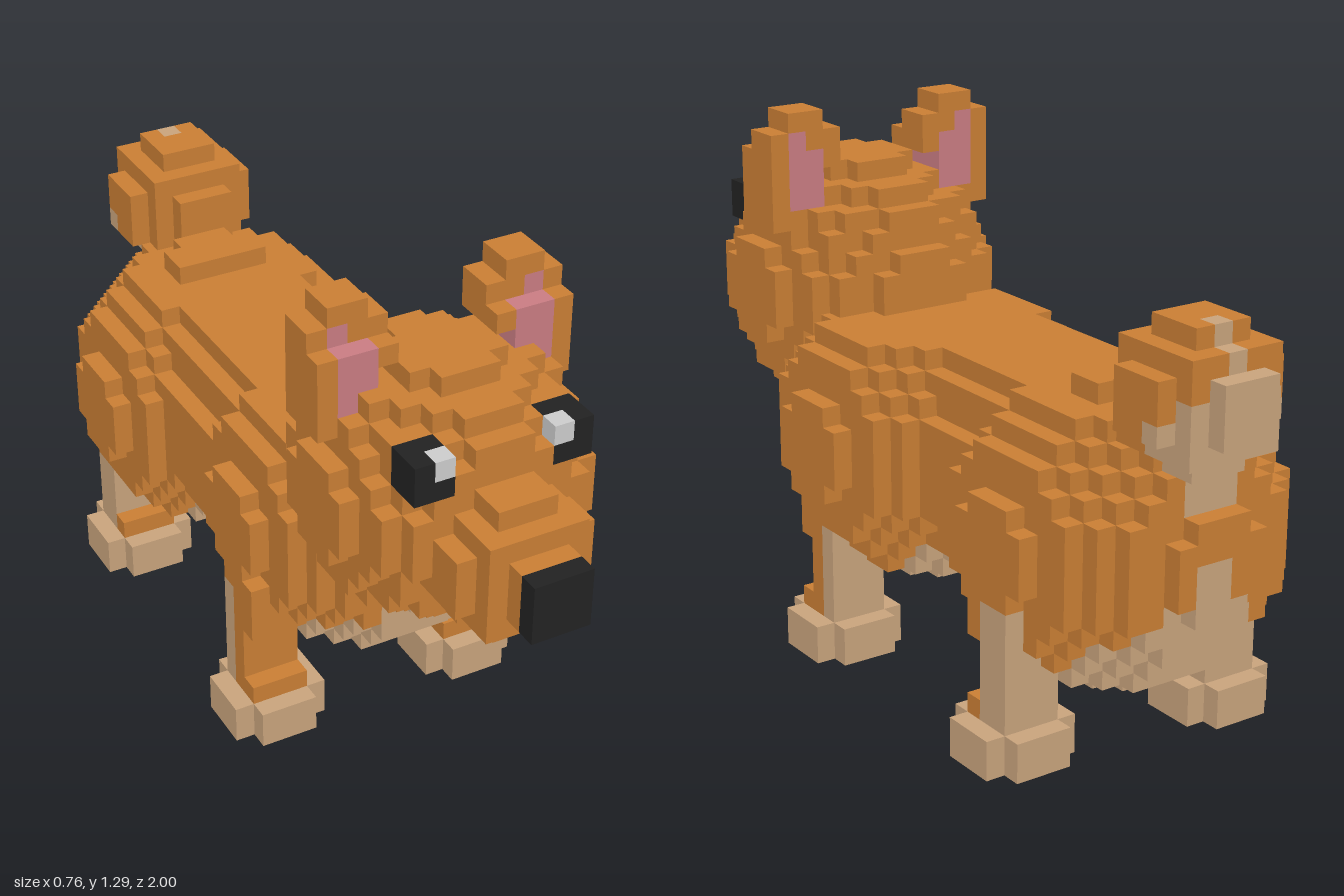
import * as THREE from 'three';

const U = 2 / 42; // size of one block

function material(name, color) {
  const m = new THREE.MeshStandardMaterial({ color });
  m.name = name;
  return m;
}

export function createModel() {
  const mats = {
    fur: material('orangeFur', 0xc97e34),
    cream: material('creamFur', 0xc8a37c),
    black: material('black', 0x222222),
    white: material('eyeGlint', 0xcccccc),
    pink: material('innerEar', 0xc97c82),
  };

  // Occupied cells: x counts half blocks, y and z whole blocks
  const cells = new Map();
  const key = (h, y, z) => `${h},${y},${z}`;
  const put = (part, mat, x, y, z) => {
    for (const h of [Math.round(2 * x), Math.round(2 * x) + 1]) {
      if (!cells.has(key(h, y, z))) cells.set(key(h, y, z), { part, mat, h, y, z });
    }
  };
  // pick(x, y, z) takes a block centre and returns a colour name, or null for no block
  const box = (part, pick, [x0, x1], [y0, y1], [z0, z1]) => {
    for (let x = x0; x < x1; x++)
      for (let y = y0; y < y1; y++)
        for (let z = z0; z < z1; z++) {
          const mat = typeof pick === 'string' ? pick : pick(x + 0.5, y + 0.5, z + 0.5);
          if (mat) put(part, mat, x, y, z);
        }
  };
  const ball = (part, [cx, cy, cz], r, pick) =>
    box(part, (x, y, z) =>
      (x - cx) ** 2 + (y - cy) ** 2 + (z - cz) ** 2 <= r * r ? pick(x, y, z) : null,
    [cx - r, cx + r], [cy - r, cy + r], [cz - r, cz + r]);
  // Same box on both sides, given for the +x side
  const pair = (part, pick, [x0, x1], ys, zs) => {
    const name = part[0].toUpperCase() + part.slice(1);
    const mirrored = typeof pick === 'string' ? pick : (x, y, z) => pick(-x, y, z);
    box('left' + name, pick, [x0, x1], ys, zs);
    box('right' + name, mirrored, [-x1, -x0], ys, zs);
  };

  // Eyes with a glint in the inner upper front block
  pair('eye', (x, y, z) => (x < 3.5 && y > 21 && z > 15 ? 'white' : 'black'),
    [2.5, 4.5], [20, 22], [14, 16]);

  // Nose, muzzle
  box('nose', 'black', [-1.5, 1.5], [15, 18], [20, 21]);
  ball('muzzle', [0, 16.5, 16.5], 3.5, () => 'fur');

  // Ears: upright plates with stepped tips and pink centres
  const ear = (x, y, z) => {
    if (y > 26 && (x < 3.5 || x > 5.5)) return null;
    if (x < 3.5 && y < 24) return null;
    if (z > 10 && y > 25) return null;
    const pinkTop = x > 4.5 ? 26 : 25;
    return x > 3.5 && x < 5.5 && y > 22 && y < pinkTop ? 'pink' : 'fur';
  };
  pair('ear', ear, [2.5, 6.5], [21, 27], [8, 11]);

  // Head
  ball('head', [0, 17.5, 10.5], 6.5, () => 'fur');

  // Body: chest, barrel and rump, with a cream bib, belly and rump stripe
  const under = (x, y) => Math.abs(x) < 4 - 0.75 * Math.max(0, y - 6);
  ball('chest', [0.5, 11.5, 2.5], 7.5, (x, y) =>
    y > 17 ? null : under(x, y) ? 'cream' : 'fur');
  box('barrel', (x, y) =>
    ((x + 0.5) / 5.5) ** 2 + ((y - 11.5) / 6.5) ** 2 <= 1
      ? (y < 7 ? 'cream' : 'fur') : null,
  [-6, 5], [5, 17], [-9, 3]);
  ball('rump', [-0.5, 10.5, -11.5], 7.5, (x, y, z) => {
    if (y > 17 && z > -11) return null;
    const stripe = z < -15 && z > -18 && Math.abs(x + 0.5) < 2 && y < 16;
    return under(x, y) || stripe ? 'cream' : 'fur';
  });

  // Tail with a pale rear underside
  ball('tail', [0, 18.5, -17.5], 3.5, (x, y, z) =>
    -z - y + 1 > 1.9 || (Math.abs(x) < 0.5 && z < -18) ? 'cream' : 'fur');

  // Legs and paws: corners cut from each paw, dark pads underneath
  const paw = (z0) => (x, y, z) => {
    const ax = Math.abs(Math.abs(x) - 5.5);
    const az = Math.abs(z - z0 - 2.5);
    if (ax > 1.5 && az > 1.5) return null;
    return y < 1 && ax < 1.5 && az < 1.5 ? 'black' : 'cream';
  };
  const legs = [
    ['leftFront', 1, 4, 1], ['rightFront', 1, -7, 1],
    ['leftBack', 1, 4, -14], ['rightBack', 1, -7, -15],
  ];
  for (const [name, , x, z] of legs) {
    const pale = name.endsWith('Front') ? z + 2 : z + 3;
    box(name + 'Paw', paw(z), [x - 1, x + 4], [0, 2], [z, z + 5]);
    box(name + 'Leg', (a, y, c) => (c < pale && y < 8 ? 'cream' : 'fur'),
      [x, x + 3], [2, 10], [z + 1, z + 3]);
    box(name + 'Leg', (a, y) => (y < 3 || y > 6 ? 'fur' : null),
      [x, x + 3], [2, 9], [z + 3, z + 4]);
  }

  // Turn the exposed block faces into one mesh per part and colour
  const buckets = new Map();
  for (const c of cells.values()) {
    const id = c.part + '|' + c.mat;
    if (!buckets.has(id)) buckets.set(id, { part: c.part, mat: c.mat, pos: [], nor: [] });
    const { pos, nor } = buckets.get(id);
    const origin = [c.h, c.y, c.z];
    const scale = [U / 2, U, U];
    for (let axis = 0; axis < 3; axis++)
      for (const dir of [-1, 1]) {
        const n = [0, 0, 0];
        n[axis] = dir;
        if (cells.has(key(c.h + n[0], c.y + n[1], c.z + n[2]))) continue;
        const a = (axis + 1) % 3, b = (axis + 2) % 3;
        let loop = [[0, 0], [1, 0], [1, 1], [0, 0], [1, 1], [0, 1]];
        if (dir < 0) loop = loop.reverse();
        for (const [s, t] of loop) {
          const p = origin.slice();
          p[axis] += dir > 0 ? 1 : 0;
          p[a] += s;
          p[b] += t;
          pos.push(...p.map((v, i) => v * scale[i]));
          nor.push(...n);
        }
      }
  }

  const model = new THREE.Group();
  model.name = 'blockDog';
  const parts = new Map();
  for (const { part, mat, pos, nor } of buckets.values()) {
    if (!pos.length) continue;
    if (!parts.has(part)) {
      const g = new THREE.Group();
      g.name = part;
      parts.set(part, g);
      model.add(g);
    }
    const geo = new THREE.BufferGeometry();
    geo.setAttribute('position', new THREE.Float32BufferAttribute(pos, 3));
    geo.setAttribute('normal', new THREE.Float32BufferAttribute(nor, 3));
    const mesh = new THREE.Mesh(geo, mats[mat]);
    mesh.name = `${part} ${mats[mat].name}`;
    parts.get(part).add(mesh);
  }
  return model;
}
